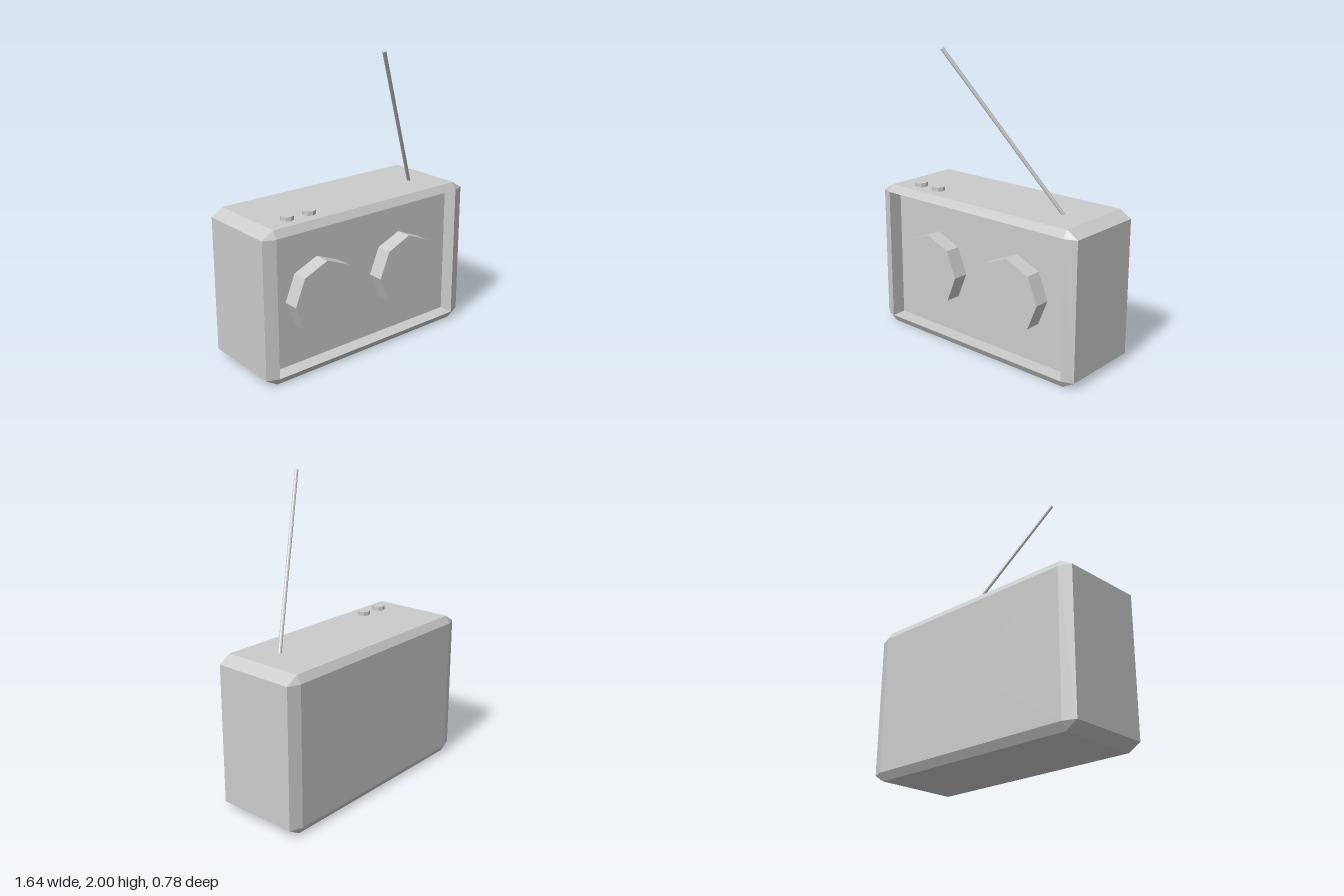
import * as THREE from 'three';

const material = new THREE.MeshStandardMaterial({ color: 0xcccccc, flatShading: true });

function add(group, name, geometry, x = 0, y = 0, z = 0) {
  const mesh = new THREE.Mesh(geometry, material);
  mesh.name = name;
  mesh.position.set(x, y, z);
  group.add(mesh);
  return mesh;
}

// Bevelled case with a recessed front, skinned through rings stacked along z
function caseGeometry() {
  const midY = 0.5025;
  const outer = [0.82, 0.5025], inner = [0.74, 0.4535];
  // Eight corners counter-clockwise; wide = outer size gives the cut-corner outline
  const ring = (z, wide) => {
    const points = [];
    for (const [sx, sy] of [[1, -1], [1, 1], [-1, 1], [-1, -1]]) {
      const side = new THREE.Vector3(sx * wide[0], midY + sy * inner[1], z);
      const cap = new THREE.Vector3(sx * inner[0], midY + sy * wide[1], z);
      points.push(...(sx * sy > 0 ? [side, cap] : [cap, side]));
    }
    return points;
  };
  const centre = (z) => Array.from({ length: 8 }, () => new THREE.Vector3(0, midY, z));
  const rings = [
    centre(-0.388), ring(-0.388, inner), ring(-0.357, outer),
    ring(0.192, outer), ring(0.222, inner),
    ring(0.122, inner), centre(0.122),
  ];
  const corners = [];
  const triangle = (a, b, c) => {
    if (!a.equals(b) && !b.equals(c) && !c.equals(a)) corners.push(a, b, c);
  };
  for (let i = 0; i < rings.length - 1; i++) {
    for (let j = 0; j < 8; j++) {
      const k = (j + 1) % 8;
      triangle(rings[i][j], rings[i][k], rings[i + 1][k]);
      triangle(rings[i][j], rings[i + 1][k], rings[i + 1][j]);
    }
  }
  const geometry = new THREE.BufferGeometry().setFromPoints(corners);
  geometry.computeVertexNormals();
  return geometry;
}

export function createModel() {
  const radio = new THREE.Group();
  radio.name = 'radio';

  add(radio, 'case', caseGeometry());

  // Octagonal speakers standing in the recess
  for (const [name, x] of [['rightSpeaker', -0.37], ['leftSpeaker', 0.31]]) {
    const speaker = add(radio, name, new THREE.CylinderGeometry(0.245, 0.245, 0.11, 8), x, 0.487, 0.173);
    speaker.rotation.x = Math.PI / 2;
  }

  // Small knobs on top
  for (const [name, x] of [['outerKnob', -0.565], ['innerKnob', -0.402]]) {
    add(radio, name, new THREE.CylinderGeometry(0.043, 0.043, 0.04, 8), x, 1.012, 0.088);
  }

  // Antenna leaning forward and to the right
  const base = new THREE.Vector3(0.555, 0.985, -0.041);
  const tip = new THREE.Vector3(-0.062, 1.994, 0.377);
  const rod = tip.clone().sub(base);
  const antenna = add(radio, 'antenna', new THREE.CylinderGeometry(0.012, 0.012, rod.length(), 8));
  antenna.position.copy(base).addScaledVector(rod, 0.5);
  antenna.quaternion.setFromUnitVectors(new THREE.Vector3(0, 1, 0), rod.normalize());

  return radio;
}
